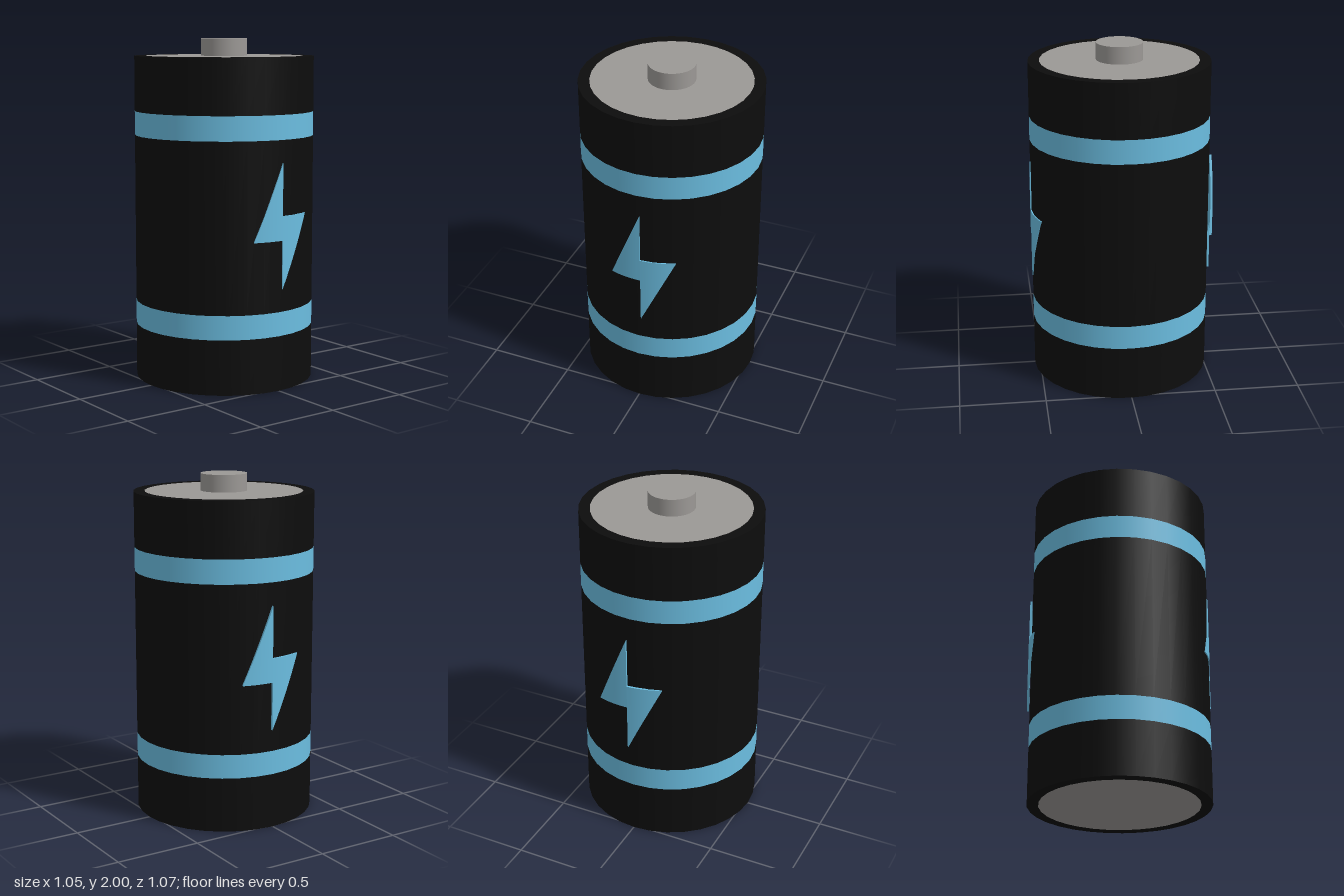
import * as THREE from 'three';

const SIDES = 32, R = 0.525, R_CAP = 0.46, TOP = 1.9, Z = 0.007;

const black = new THREE.MeshStandardMaterial({ color: 0x0d0d0d });
const blue = new THREE.MeshStandardMaterial({ color: 0x6bbde0 });
const grey = new THREE.MeshStandardMaterial({ color: 0x9b9895 });

function add(parent, name, geometry, material) {
  const mesh = new THREE.Mesh(geometry, material);
  mesh.name = name;
  parent.add(mesh);
  return mesh;
}

// One half of the lightning bolt: a box wrapped round the cylinder between two slanted edges.
// left/right = [x, bottom y, top y]
function boltHalf(left, right) {
  const g = new THREE.BoxGeometry(1, 1, 1, 8, 1, 1);
  const p = g.attributes.position;
  for (let i = 0; i < p.count; i++) {
    const u = p.getX(i) + 0.5, v = p.getY(i) + 0.5, outer = p.getZ(i) > 0;
    const [x, bottom, top] = left.map((a, k) => THREE.MathUtils.lerp(a, right[k], u));
    const angle = Math.asin(x / 0.53), r = outer ? 0.53 : 0.517;
    p.setXYZ(i, r * Math.sin(angle), THREE.MathUtils.lerp(bottom, top, v), r * Math.cos(angle));
  }
  g.computeVertexNormals();
  return g;
}

function makeBolt(name) {
  const bolt = new THREE.Group();
  bolt.name = name;
  add(bolt, 'boltUpperHalf', boltHalf([-0.165, 0.87, 0.872], [0.02, 0.87, 1.31]), blue);
  add(bolt, 'boltLowerHalf', boltHalf([0.02, 0.59, 1.01], [0.22, 1.008, 1.01]), blue);
  return bolt;
}

export function createModel() {
  const model = new THREE.Group();
  model.name = 'battery';

  const cell = new THREE.Group();
  cell.name = 'cell';
  cell.position.z = Z;
  model.add(cell);

  // Side wall: dark sleeve sections alternating with coloured bands
  const levels = [0, 0.32, 0.46, 1.44, 1.58, TOP];
  for (let i = 0; i < levels.length - 1; i++) {
    const h = levels[i + 1] - levels[i], isBand = i % 2 === 1;
    const wall = new THREE.CylinderGeometry(R, R, h, SIDES, 1, true);
    add(cell, isBand ? 'band' : 'sleeve', wall, isBand ? blue : black).position.y = levels[i] + h / 2;
  }

  // Both ends: dark rim around a flush metal plate
  for (const [end, y, tilt] of [['top', TOP, -1], ['bottom', 0, 1]]) {
    const rim = add(cell, end + 'Rim', new THREE.RingGeometry(R_CAP, R, SIDES), black);
    const plate = add(cell, end + 'Plate', new THREE.CircleGeometry(R_CAP, SIDES), grey);
    for (const m of [rim, plate]) {
      m.rotation.x = tilt * Math.PI / 2;
      m.position.y = y;
    }
  }

  // Positive terminal
  add(cell, 'terminal', new THREE.CylinderGeometry(0.135, 0.135, 0.1, 64), grey).position.y = 1.95;

  // Bolt emblems, front and back (the back one sits slightly off centre)
  const front = makeBolt('frontBolt');
  front.position.z = Z;
  const back = makeBolt('backBolt');
  back.rotation.y = Math.PI;
  back.position.set(0.04, 0, -0.008);
  model.add(front, back);

  return model;
}
